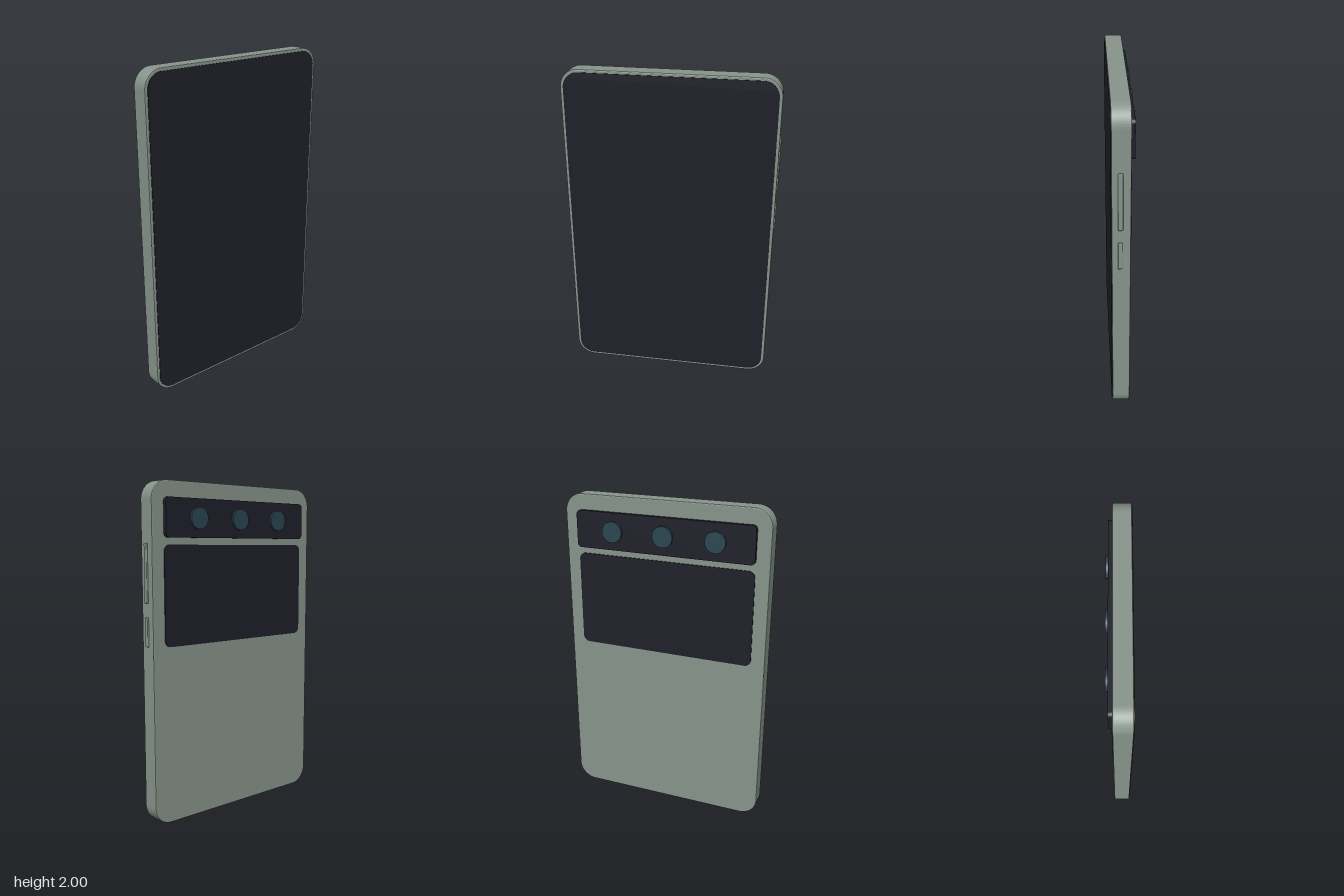
import * as THREE from 'three';
import { RoundedBoxGeometry } from 'three/addons/geometries/RoundedBoxGeometry.js';

const material = (name, color) => {
  const m = new THREE.MeshStandardMaterial({ color });
  m.name = name;
  return m;
};

// Rounded rectangle centred on the origin
function roundedRect(w, h, r) {
  const s = new THREE.Shape();
  const x = w / 2 - r, y = h / 2 - r;
  s.absarc(x, y, r, 0, Math.PI / 2);
  s.absarc(-x, y, r, Math.PI / 2, Math.PI);
  s.absarc(-x, -y, r, Math.PI, Math.PI * 1.5);
  s.absarc(x, -y, r, Math.PI * 1.5, Math.PI * 2);
  s.closePath();
  return s;
}

// Slab given by its outer limits, with an optional edge bevel
function slab(x0, x1, y0, y1, z0, z1, r, bevel = 0) {
  const shape = roundedRect(x1 - x0 - 2 * bevel, y1 - y0 - 2 * bevel, r - bevel);
  const g = new THREE.ExtrudeGeometry(shape, {
    depth: z1 - z0 - 2 * bevel,
    bevelEnabled: bevel > 0,
    bevelSize: bevel,
    bevelThickness: bevel,
    bevelSegments: 2,
    curveSegments: 12,
  });
  return g.translate((x0 + x1) / 2, (y0 + y1) / 2, z0 + bevel);
}

export function createModel() {
  const group = new THREE.Group();
  const sage = material('sage shell', 0x87948b);
  const glass = material('dark glass', 0x1f1f29);
  const lensBlue = material('lens blue', 0x2a4552);

  const add = (name, geometry, mat) => {
    const mesh = new THREE.Mesh(geometry, mat);
    mesh.name = name;
    group.add(mesh);
    return mesh;
  };

  // Shell and main display
  add('body', slab(-0.644, 0.632, 0, 2, -0.036, 0.068, 0.11, 0.006), sage);
  add('frontScreen', slab(-0.626, 0.614, 0.018, 1.982, 0.06, 0.072, 0.092), glass);

  // Fold seam, visible only where it crosses the bevelled edges
  add('foldSeam', new THREE.BoxGeometry(1.274, 0.014, 0.102).translate(-0.006, 1.005, 0.016), glass);

  // Back display and camera bar
  add('coverScreen', slab(-0.56, 0.55, 1.055, 1.64, -0.042, -0.03, 0.04), glass);
  add('cameraBar', slab(-0.56, 0.55, 1.68, 1.905, -0.059, -0.03, 0.025), glass);

  // Three camera lenses
  for (const x of [-0.327, -0.006, 0.315]) {
    const lens = add('cameraLens', new THREE.CylinderGeometry(0.063, 0.063, 0.03, 24), lensBlue);
    lens.rotation.x = Math.PI / 2;
    lens.position.set(x, 1.792, -0.058);
  }

  // Side buttons
  for (const [name, y0, y1] of [['volumeButton', 1.31, 1.65], ['powerButton', 1.06, 1.23]]) {
    const button = add(name, new RoundedBoxGeometry(0.024, y1 - y0, 0.028, 2, 0.005), sage);
    button.position.set(0.628, (y0 + y1) / 2, 0.02);
  }

  return group;
}
